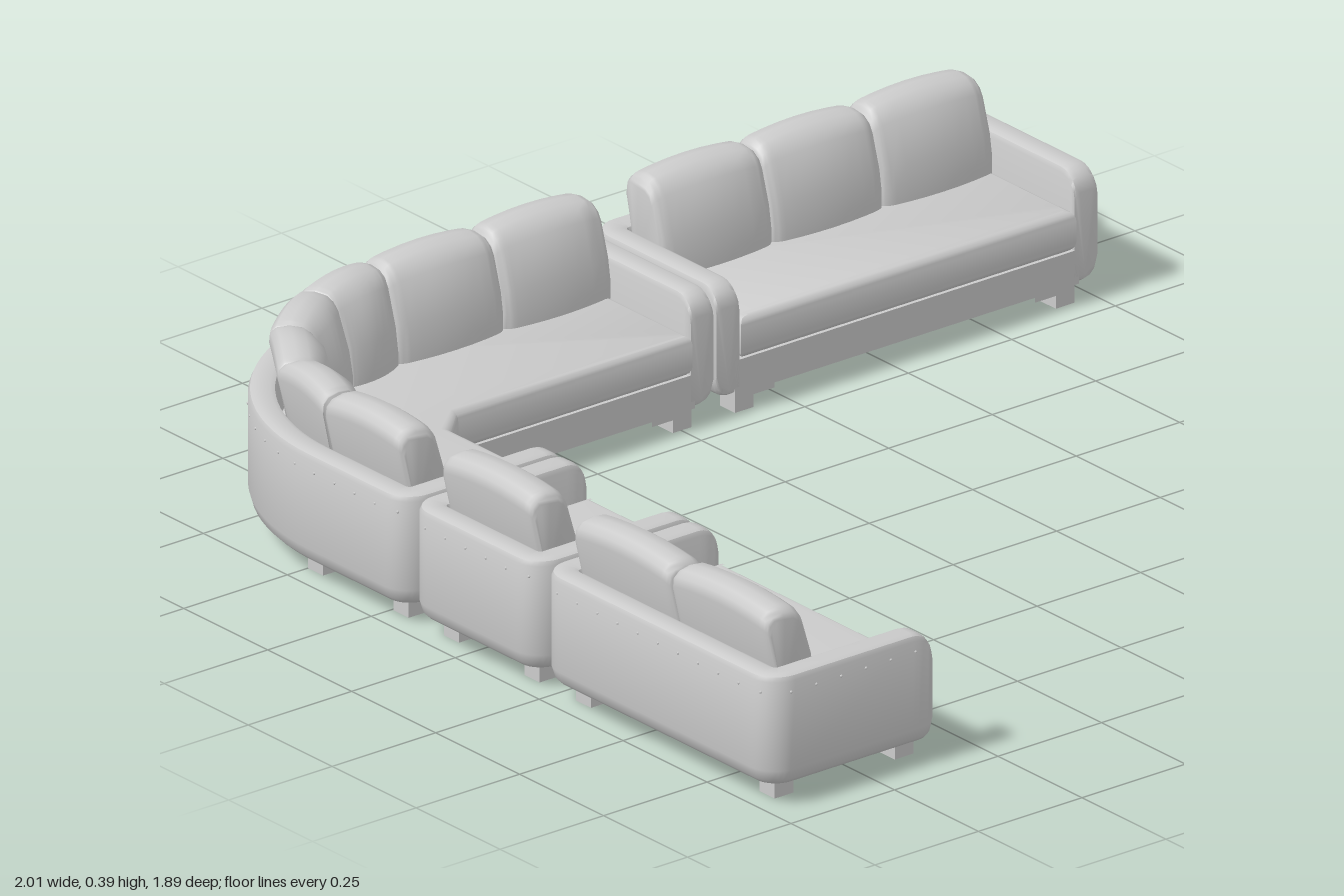
import * as THREE from 'three';
import { toCreasedNormals, mergeGeometries } from 'three/addons/utils/BufferGeometryUtils.js';

const material = new THREE.MeshStandardMaterial({ color: 0xcccccc });
const V = (x, z) => new THREE.Vector2(x, z); // plan point
const inward = (t) => V(t.y, -t.x);
const ARM = 0.055, TOP = 0.27, BOTTOM = 0.04;

function add(group, name, geometry) {
  const mesh = new THREE.Mesh(geometry, material);
  mesh.name = name;
  group.add(mesh);
  return mesh;
}

// Skins loops of [distance inward, height] placed at plan stations { p, n }
function sweep(stations, section, crease) {
  const pos = [], idx = [], loops = stations.map(section), m = loops[0].length;
  stations.forEach(({ p, n }, i) => {
    for (const [d, y] of loops[i]) pos.push(p.x + n.x * d, y, p.y + n.y * d);
  });
  const last = stations.length - 1;
  for (let i = 0; i < last; i++) {
    for (let j = 0; j < m; j++) {
      const k = (j + 1) % m, a = i * m + j, b = i * m + k;
      idx.push(a, a + m, b + m, a, b + m, b);
    }
  }
  for (let j = 1; j < m - 1; j++) {
    idx.push(0, j, j + 1, last * m, last * m + j + 1, last * m + j);
  }
  const g = new THREE.BufferGeometry();
  g.setAttribute('position', new THREE.Float32BufferAttribute(pos, 3));
  g.setIndex(idx);
  return toCreasedNormals(g, crease);
}

// Outline from one arm tip round the back to the other, with rounded corners
function outline(points, radii) {
  const out = [], tips = [0, 0.003, 0.01, 0.02, 0.033, 0.045];
  const dir = (a, b) => b.clone().sub(a).normalize();
  const last = points.length - 1;
  const first = dir(points[0], points[1]), end = dir(points[last - 1], points[last]);
  for (const f of tips) {
    out.push({ p: points[0].clone().addScaledVector(first, f), n: inward(first), f });
  }
  for (let i = 1; i < last; i++) {
    const r = radii[i - 1], a = dir(points[i - 1], points[i]), b = dir(points[i], points[i + 1]);
    const c = points[i].clone().addScaledVector(a, -r).addScaledVector(b, r);
    const steps = r > 0.2 ? 24 : 8;
    for (let s = 0; s <= steps; s++) {
      const t = (s / steps) * Math.PI / 2;
      const n = b.clone().multiplyScalar(Math.cos(t)).addScaledVector(a, -Math.sin(t));
      out.push({ p: c.clone().addScaledVector(n, -r), n, f: 1 });
    }
  }
  for (const f of tips.reverse()) {
    out.push({ p: points[last].clone().addScaledVector(end, -f), n: inward(end), f });
  }
  return out;
}

// Arm and back wall section, its top and bottom rounded off towards the arm tips
const WALL = [[0.03, 0.04], [0.016, 0.044], [0.006, 0.054], [0, 0.075], [0, 0.257], [0.004, 0.266],
  [0.013, TOP], [0.042, TOP], [0.051, 0.266], [ARM, 0.257], [ARM, 0.04]];
const roundOff = (f, r) => (f >= r ? 0 : r - Math.sqrt(r * r - (r - f) ** 2));
function wallSection({ f }) {
  return WALL.map(([d, y]) => [d, y > 0.15 ? y - roundOff(f, 0.045) : y + roundOff(f, 0.015)]);
}

// Horizontal slab from a plan polygon
function slab(points, y0, y1, bevel = 0, grow = 0) {
  const g = new THREE.ExtrudeGeometry(new THREE.Shape(points.map((p) => V(p.x, -p.y))), {
    depth: y1 - y0 - 2 * bevel, bevelEnabled: bevel > 0, bevelThickness: bevel,
    bevelSize: bevel, bevelOffset: grow - bevel, bevelSegments: 5,
  });
  g.rotateX(-Math.PI / 2).translate(0, y0 + bevel, 0);
  return toCreasedNormals(g, 0.6);
}

// Leaning back cushion between two outline stations
const PAD = [[0.07, 0.18], [0.055, 0.26], [0.036, 0.34], [0.038, 0.36], [0.05, 0.371], [0.075, 0.376],
  [0.1, 0.373], [0.115, 0.363], [0.125, 0.345], [0.148, 0.27], [0.156, 0.22], [0.156, 0.18]];
function backCushion(a, b, round) {
  const len = a.p.distanceTo(b.p), R = 0.025;
  const edge = [0, 0.0015, 0.005, 0.011, 0.018, 0.026].map((e) => e / len);
  const us = [...edge, 0.2, 0.35, 0.5, 0.65, 0.8, ...edge.map((e) => 1 - e).reverse()];
  const stations = us.map((u) => ({ p: a.p.clone().lerp(b.p, u), n: a.n.clone().lerp(b.n, u), u }));
  return sweep(stations, ({ u }) => {
    const s = 1 - round * roundOff(Math.min(u, 1 - u) * len, R) / R;
    const crown = 1 - (2 * u - 1) ** 2;
    return PAD.map(([d, y]) => [
      0.095 + (d - 0.095) * s + (d > 0.12 ? 0.012 * crown : 0),
      0.27 + (y - 0.27) * s + (y > 0.33 ? 0.012 * crown : 0),
    ]);
  }, 1.0);
}

// Row of equal cushions along a straight back
function cushionRow(group, from, to, count) {
  const n = inward(to.clone().sub(from).normalize());
  for (let i = 0; i < count; i++) {
    const at = (k) => ({ p: from.clone().lerp(to, k / count), n });
    add(group, 'backCushion', backCushion(at(i), at(i + 1), 0.18));
  }
}

// Foot with a triangular corner bracket reaching inwards
function leg(group, x, z, sx, sz) {
  const foot = new THREE.BoxGeometry(0.045, BOTTOM, 0.045);
  foot.translate(x + sx * 0.0225, BOTTOM / 2, z + sz * 0.0225);
  add(group, 'foot', foot);
  add(group, 'footBracket', slab([V(x, z), V(x + sx * 0.095, z), V(x, z + sz * 0.095)], 0.026, 0.041));
}
function legs(group, x0, x1, z0, z1) {
  for (const [x, sx] of [[x0, 1], [x1, -1]]) {
    for (const [z, sz] of [[z0, 1], [z1, -1]]) leg(group, x, z, sx, sz);
  }
}

// Small studs spaced evenly along the outer face
function studs(stations, y) {
  const parts = [];
  let next = 0.06, run = 0;
  for (let i = 1; i < stations.length; i++) {
    const a = stations[i - 1].p, b = stations[i].p, len = a.distanceTo(b);
    for (; next <= run + len; next += 0.06) {
      const q = a.clone().lerp(b, (next - run) / len);
      parts.push(new THREE.SphereGeometry(0.003, 6, 4).translate(q.x, y, q.y));
    }
    run += len;
  }
  return mergeGeometries(parts);
}

// Shell, base and seat shared by every section
function sofa(name, corners, radii, inner = []) {
  const group = new THREE.Group();
  group.name = name;
  const line = outline(corners, radii);
  const inset = (d) => [...line.map(({ p, n }) => p.clone().addScaledVector(n, d)), ...inner];
  add(group, 'armsAndBack', sweep(line, wallSection, 0.6));
  add(group, 'base', slab(inset(0.045), BOTTOM, 0.11));
  add(group, 'seatCushion', slab(inset(ARM + 0.005), 0.108, 0.195, 0.022, 0.005));
  add(group, 'studs', studs(line, 0.235));
  return group;
}

export function createModel() {
  const model = new THREE.Group();
  model.name = 'sectionalSofa';
  const B = -0.94, F = -0.553, L = -1, R = -0.61; // back and front lines of the two wings

  // Three-seat sofa along the back
  const three = sofa('threeSeatSofa', [V(1, F), V(1, B), V(0.08, B), V(0.08, F)], [0.06, 0.06]);
  cushionRow(three, V(0.94, B), V(0.14, B), 3);
  legs(three, 0.13, 0.95, -0.89, -0.56);

  // Curved corner sofa
  const corner = sofa('cornerSofa', [V(0.073, F), V(0.073, B), V(L, B), V(L, -0.15), V(R, -0.15)],
    [0.06, 0.5, 0.06], [V(R, -0.495), V(-0.55, F)]);
  cushionRow(corner, V(0.018, B), V(-0.5, B), 2);
  const arc = (i) => {
    const t = (i / 4) * Math.PI / 2, n = V(Math.sin(t), Math.cos(t));
    return { p: V(-0.5, B + 0.5).addScaledVector(n, -0.5), n };
  };
  for (let i = 0; i < 4; i++) add(corner, 'curvedBackCushion', backCushion(arc(i), arc(i + 1), 0.03));
  cushionRow(corner, V(L, B + 0.5), V(L, -0.205), 1);
  legs(corner, -0.56, 0.025, -0.89, -0.56);
  legs(corner, -0.95, -0.615, -0.5, -0.2);

  // Armchair and two-seat sofa along the side
  for (const [name, z0, z1, seats] of [['armchair', -0.145, 0.24, 1], ['twoSeatSofa', 0.248, 0.94, 2]]) {
    const piece = sofa(name, [V(R, z0), V(L, z0), V(L, z1), V(R, z1)], [0.06, 0.06]);
    cushionRow(piece, V(L, z0 + ARM), V(L, z1 - ARM), seats);
    legs(piece, -0.95, -0.615, z0 + 0.05, z1 - 0.05);
    model.add(piece);
  }
  model.add(three, corner);
  return model;
}
